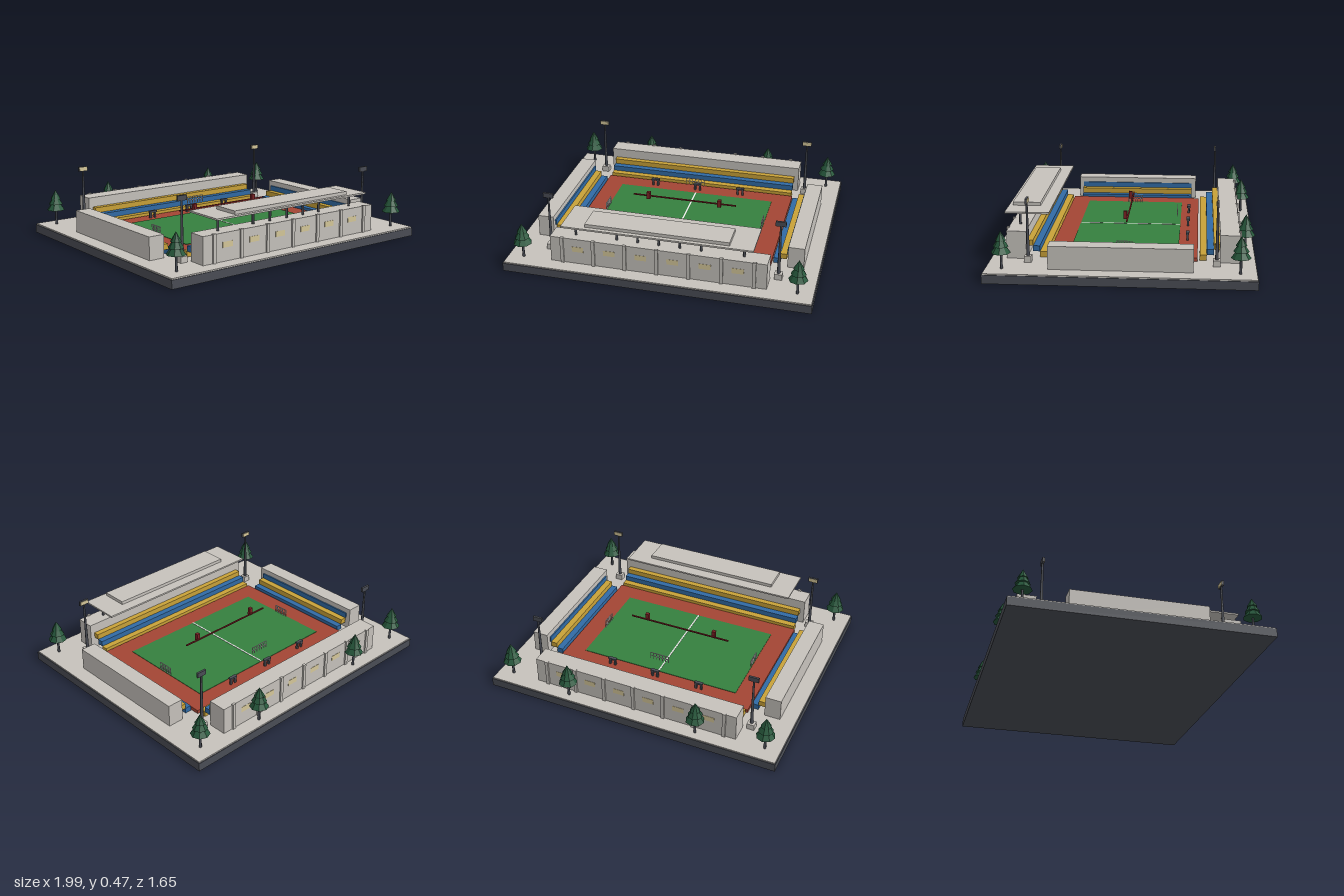
import * as THREE from 'three';

const mat = (name, color) => {
  const m = new THREE.MeshStandardMaterial({ color });
  m.name = name;
  return m;
};

export function createModel() {
  const root = new THREE.Group();
  root.name = 'stadium';
  const concrete = mat('concrete', 0xc6c2bc), slate = mat('slate', 0x4a4d55);
  const clay = mat('clay red', 0xa34534), grass = mat('grass green', 0x35803f);
  const gold = mat('seat gold', 0xc9a238), blue = mat('seat blue', 0x316ba5);
  const leaf = mat('leaf green', 0x26573b), glow = mat('pale yellow', 0xd6c89a);
  const white = mat('line white', 0xe6e6e4), darkRed = mat('dark red', 0x7c2224);
  leaf.flatShading = true;

  const add = (name, geo, m, x, y, z, parent = root) => {
    const mesh = new THREE.Mesh(geo, m);
    mesh.name = name;
    mesh.position.set(x, y, z);
    parent.add(mesh);
    return mesh;
  };
  // Box given by its extents on each axis
  const box = (name, m, [x0, x1], [y0, y1], [z0, z1], parent = root) =>
    add(name, new THREE.BoxGeometry(x1 - x0, y1 - y0, z1 - z0), m,
      (x0 + x1) / 2, (y0 + y1) / 2, (z0 + z1) / 2, parent);
  const span = (a, b, s) => (s > 0 ? [a, b] : [-b, -a]);
  const group = (name) => {
    const g = new THREE.Group();
    g.name = name;
    root.add(g);
    return g;
  };

  // Ground, track and pitch
  box('base', slate, [-0.995, 0.995], [0, 0.055], [-0.825, 0.825]);
  box('plaza', concrete, [-0.99, 0.99], [0.055, 0.063], [-0.82, 0.82]);
  box('track', clay, [-0.68, 0.68], [0.063, 0.086], [-0.463, 0.468]);
  box('pitch', grass, [-0.55, 0.55], [0.086, 0.089], [-0.342, 0.342]);
  box('halfwayLine', white, [-0.005, 0.005], [0.089, 0.091], [-0.342, 0.342]);

  for (const s of [1, -1]) {
    // Long outer walls with pilasters and windows
    const wall = group(s > 0 ? 'frontWall' : 'backWall');
    box('wall', concrete, [-0.7, 0.7], [0.063, 0.24], span(0.6, 0.722, s), wall);
    for (let i = -3; i <= 3; i++) {
      const x = i * 0.207;
      box('pilaster', concrete, [x - 0.011, x + 0.011], [0.063, 0.245], span(0.715, 0.732, s), wall);
    }
    for (let i = -2.5; i <= 2.5; i++) {
      const x = i * 0.207;
      box('window', glow, [x - 0.038, x + 0.038], [0.148, 0.184], span(0.72, 0.7235, s), wall);
    }
    // Short outer walls
    box('endWall', concrete, span(0.785, 0.89, s), [0.063, 0.21], [-0.44, 0.44]);

    // Stepped seating on the long and short sides
    const seats = group('seating');
    for (let i = 0; i < 3; i++) {
      const y = [0.066 + i * 0.036, 0.102 + i * 0.036];
      const z = 0.476 + i * 0.043, x = 0.69 + i * 0.043;
      box('longTier', i === 1 ? blue : gold, [-0.67, 0.67], y, span(z, z + 0.043, s), seats);
      box('endTier', i === 1 ? gold : blue, span(x, x + 0.043, s), y, [-0.41, 0.41], seats);
    }
  }

  // Grandstand roof on columns
  const roof = group('grandstandRoof');
  box('roofSlab', concrete, [-0.615, 0.615], [0.327, 0.338], [0.467, 0.746], roof);
  box('upperRoof', concrete, [-0.463, 0.463], [0.338, 0.36], [0.542, 0.72], roof);
  for (const x of [-0.545, -0.273, -0.137, 0, 0.137, 0.273, 0.545])
    add('roofColumn', new THREE.CylinderGeometry(0.008, 0.008, 0.09, 8), slate, x, 0.283, 0.66, roof);

  // Goal frame with a net of thin bars, lying along x
  const goal = (x, z, w, y0, y1, turn) => {
    const g = group('goal');
    g.position.set(x, 0, z);
    g.rotation.y = turn;
    const t = 0.002;
    for (let i = 0; i <= 6; i++) {
      const px = -w + (i * w) / 3;
      box('goalBar', white, [px - t, px + t], [y0, y1], [-t, t], g);
    }
    for (const y of [y0 + (y1 - y0) / 2, y1])
      box('crossbar', white, [-w, w], [y - t, y + t], [-t, t], g);
  };
  goal(0.545, 0, 0.05, 0.089, 0.14, Math.PI / 2);
  goal(-0.545, 0, 0.05, 0.089, 0.14, Math.PI / 2);
  goal(0, -0.322, 0.065, 0.165, 0.212, 0);

  // Overhead beam with two hanging blocks
  const beam = group('overheadBeam');
  box('beam', darkRed, [-0.36, 0.36], [0.208, 0.216], [-0.005, 0.004], beam);
  for (const x of [-0.248, 0.248])
    box('beamBlock', darkRed, [x - 0.012, x + 0.012], [0.2, 0.25], [0.004, 0.028], beam);

  // Dugouts beside the pitch
  for (const x of [-0.313, 0, 0.313]) {
    const g = group('dugout');
    box('dugoutTop', slate, [x - 0.028, x + 0.028], [0.125, 0.137], [-0.406, -0.384], g);
    for (const d of [-0.018, 0.018])
      box('dugoutLeg', slate, [x + d - 0.007, x + d + 0.007], [0.086, 0.125], [-0.402, -0.388], g);
  }

  // Floodlights, lamps facing the pitch
  for (const x of [-0.75, 0.75]) for (const s of [1, -1]) {
    const g = group('floodlight');
    g.position.set(x, 0, 0.58 * s);
    g.rotation.y = s > 0 ? Math.PI : 0;
    box('footing', concrete, [-0.025, 0.025], [0.063, 0.102], [-0.022, 0.022], g);
    add('pole', new THREE.CylinderGeometry(0.006, 0.011, 0.35, 8), slate, 0, 0.27, 0, g);
    box('lampHead', slate, [-0.033, 0.033], [0.438, 0.47], [-0.007, 0.006], g);
    box('lampFace', glow, [-0.029, 0.029], [0.442, 0.466], [0.006, 0.009], g);
  }

  // Conifers
  for (const [x, z] of [[-0.89, 0.72], [0.89, 0.72], [-0.89, -0.72], [0.89, -0.72], [-0.445, -0.765], [0.445, -0.765]]) {
    const g = group('tree');
    g.position.set(x, 0, z);
    add('trunk', new THREE.CylinderGeometry(0.007, 0.009, 0.12, 6), slate, 0, 0.122, 0, g);
    for (const [r, y, h] of [[0.061, 0.165, 0.085], [0.048, 0.205, 0.075], [0.034, 0.242, 0.06]])
      add('foliage', new THREE.ConeGeometry(r, h, 8), leaf, 0, y + h / 2, 0, g);
  }

  return root;
}
